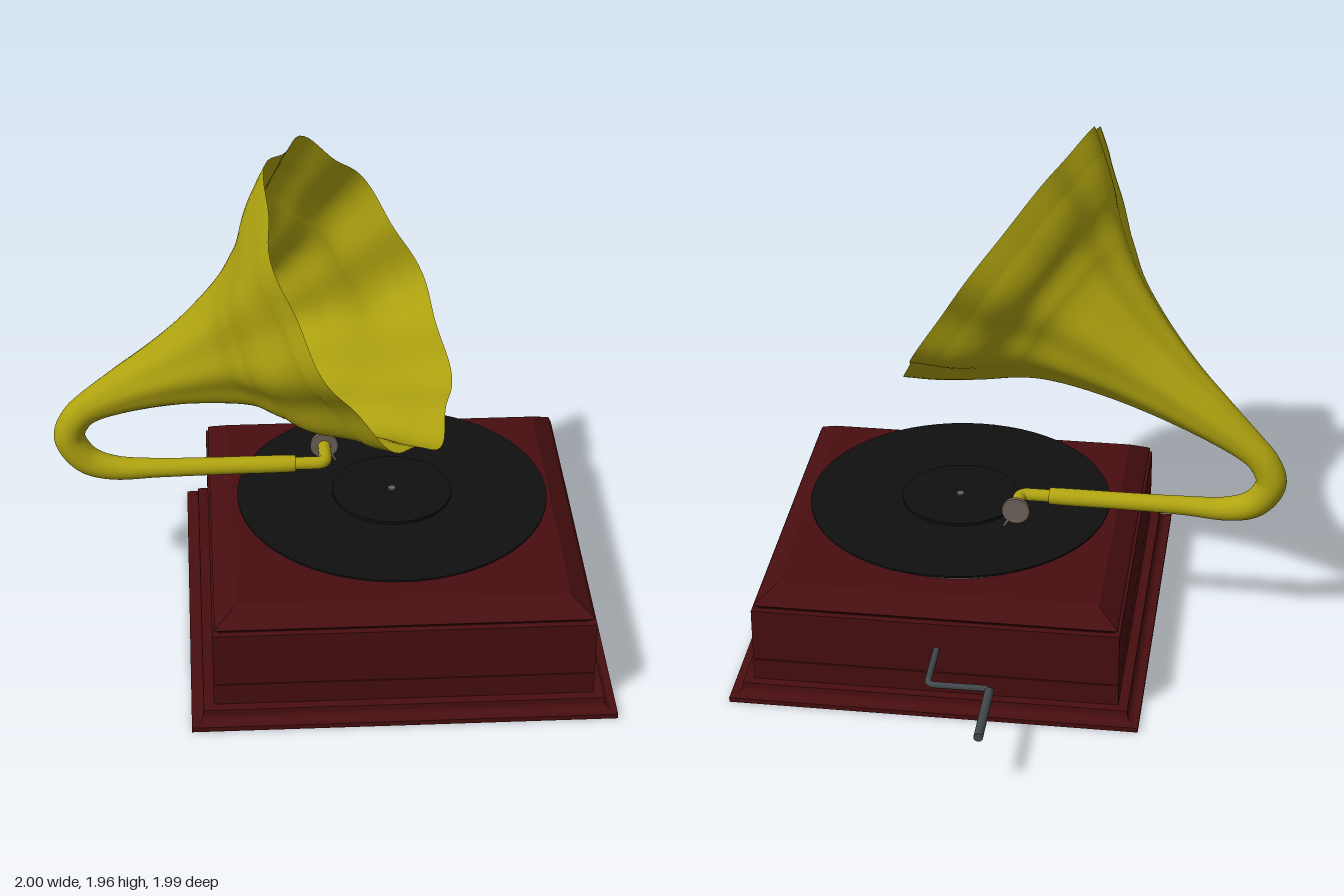
import * as THREE from 'three';
import { ParametricGeometry } from 'three/addons/geometries/ParametricGeometry.js';

const V = (x, y, z) => new THREE.Vector3(x, y, z);
const CX = 0.24, CZ = 0.2; // centre of the cabinet and turntable

export function createModel() {
  const model = new THREE.Group();
  model.name = 'gramophone';

  const mat = (name, color, side = THREE.FrontSide) => {
    const m = new THREE.MeshStandardMaterial({ color, side });
    m.name = name;
    return m;
  };
  const wood = mat('mahogany', 0x480e10);
  const brass = mat('brass', 0xb0a410, THREE.DoubleSide);
  const vinyl = mat('black vinyl', 0x101010);
  const platterMetal = mat('platter metal', 0x6e625c);
  const steel = mat('dark steel', 0x41474a);

  const add = (name, geometry, material, x = 0, y = 0, z = 0) => {
    const mesh = new THREE.Mesh(geometry, material);
    mesh.name = name;
    mesh.position.set(x, y, z);
    model.add(mesh);
    return mesh;
  };

  // Square moulding: a four-sided lathe with flat faces, profile in half-widths
  const squareLathe = (profile) => {
    const pts = profile.map(([h, y]) => new THREE.Vector2(h * Math.SQRT2, y));
    const g = new THREE.LatheGeometry(pts, 4, Math.PI / 4).toNonIndexed();
    g.computeVertexNormals();
    return g;
  };

  // Cabinet: stepped plinth, body with a fine groove, and bevelled lid
  add('plinth', squareLathe([
    [0, 0], [0.76, 0], [0.76, 0.018], [0.735, 0.02], [0.724, 0.027],
    [0.718, 0.038], [0.716, 0.06], [0, 0.06],
  ]), wood, CX, 0, CZ);
  add('cabinetBody', squareLathe([
    [0.68, 0.05], [0.68, 0.143], [0.677, 0.145], [0.68, 0.147], [0.68, 0.355], [0, 0.355],
  ]), wood, CX, 0, CZ);
  add('lid', squareLathe([
    [0.655, 0.35], [0.655, 0.358], [0.672, 0.374], [0.665, 0.382], [0.595, 0.43], [0, 0.43],
  ]), wood, CX, 0, CZ);

  // Turntable
  const disc = (name, r, y0, y1, material) =>
    add(name, new THREE.CylinderGeometry(r, r, y1 - y0, 64), material, CX, (y0 + y1) / 2, CZ);
  disc('platter', 0.485, 0.43, 0.489, platterMetal);
  disc('record', 0.572, 0.489, 0.496, vinyl);
  disc('recordCentre', 0.22, 0.496, 0.507, vinyl);
  disc('spindle', 0.014, 0.507, 0.513, platterMetal);

  // Horn: centre line and radius stations, from the arm to the mouth
  const stations = [
    [-0.13, 0.575, 0.115, 0.024], [-0.132, 0.575, 0.115, 0.032],
    [-0.4, 0.574, 0.115, 0.033], [-0.62, 0.573, 0.114, 0.036],
    [-0.78, 0.575, 0.108, 0.045], [-0.885, 0.612, 0.1, 0.053],
    [-0.942, 0.7, 0.094, 0.057], [-0.92, 0.78, 0.097, 0.056],
    [-0.86, 0.845, 0.107, 0.06], [-0.73, 0.935, 0.14, 0.087],
    [-0.575, 1.03, 0.185, 0.127], [-0.42, 1.125, 0.236, 0.183],
    [-0.275, 1.215, 0.285, 0.254], [-0.17, 1.278, 0.328, 0.335],
    [-0.075, 1.334, 0.364, 0.43], [0.031, 1.402, 0.391, 0.525],
    [0.105, 1.45, 0.41, 0.583],
  ];
  const path = new THREE.CatmullRomCurve3(stations.map(([x, y, z]) => V(x, y, z)), false, 'catmullrom');
  const radii = new THREE.CatmullRomCurve3(stations.map((s) => V(s[3], 0, 0)), false, 'catmullrom');
  const sideways = V(-0.247, 0, 0.966);
  const lobes = 9, lobeStart = 0.134;
  const hornPoint = (u, v, target) => {
    const t = THREE.MathUtils.clamp(v, 0, 1);
    const a = u * Math.PI * 2;
    const T = path.getTangent(t);
    const side = sideways.clone().addScaledVector(T, -sideways.dot(T)).normalize();
    const up = side.clone().cross(T);
    const r = radii.getPoint(t).x;
    // Flutes deepen as the horn opens
    const flute = 0.038 * Math.sqrt(THREE.MathUtils.clamp((r - 0.06) / 0.45, 0, 1));
    const R = r * (1 + flute * Math.cos(lobes * (a - lobeStart)));
    target.copy(path.getPoint(t))
      .addScaledVector(up, R * Math.cos(a))
      .addScaledVector(side, R * Math.sin(a));
  };
  add('horn', new ParametricGeometry(hornPoint, 108, 112), brass);

  // Path with rounded corners, swept as a tube
  const bentTube = (points, bend, radius) => {
    const curve = new THREE.CurvePath();
    let from = points[0];
    for (let i = 1; i < points.length - 1; i++) {
      const p = points[i];
      const before = p.clone().add(points[i - 1].clone().sub(p).setLength(bend));
      const after = p.clone().add(points[i + 1].clone().sub(p).setLength(bend));
      curve.add(new THREE.LineCurve3(from, before));
      curve.add(new THREE.QuadraticBezierCurve3(before, p, after));
      from = after;
    }
    curve.add(new THREE.LineCurve3(from, points[points.length - 1]));
    return new THREE.TubeGeometry(curve, 80, radius, 16);
  };

  // Tone arm elbow, sound box and needle
  add('toneArm', bentTube([V(-0.15, 0.575, 0.115), V(0, 0.575, 0.115), V(0, 0.575, 0)], 0.035, 0.024), brass);
  const box = add('soundBox', new THREE.CylinderGeometry(0.052, 0.052, 0.016, 32), platterMetal, 0, 0.575, -0.006);
  box.rotation.x = Math.PI / 2;
  const rim = add('soundBoxRim', new THREE.TorusGeometry(0.045, 0.008, 8, 32), platterMetal, 0, 0.575, -0.006);
  rim.scale.z = 1.2;
  const needle = add('needle', new THREE.CylinderGeometry(0.007, 0.004, 0.06, 10), platterMetal, 0.03, 0.53, -0.006);
  needle.rotation.z = 0.55;

  // Winding crank at the back
  add('crankShaft', bentTube([
    V(0.232, 0.243, -0.47), V(0.232, 0.243, -0.7), V(0, 0.243, -0.7), V(0, 0.243, -0.8),
  ], 0.03, 0.012), steel);
  const handle = add('crankHandle', new THREE.CylinderGeometry(0.017, 0.017, 0.285, 20), steel, 0.004, 0.243, -0.8575);
  handle.rotation.x = Math.PI / 2;

  return model;
}
